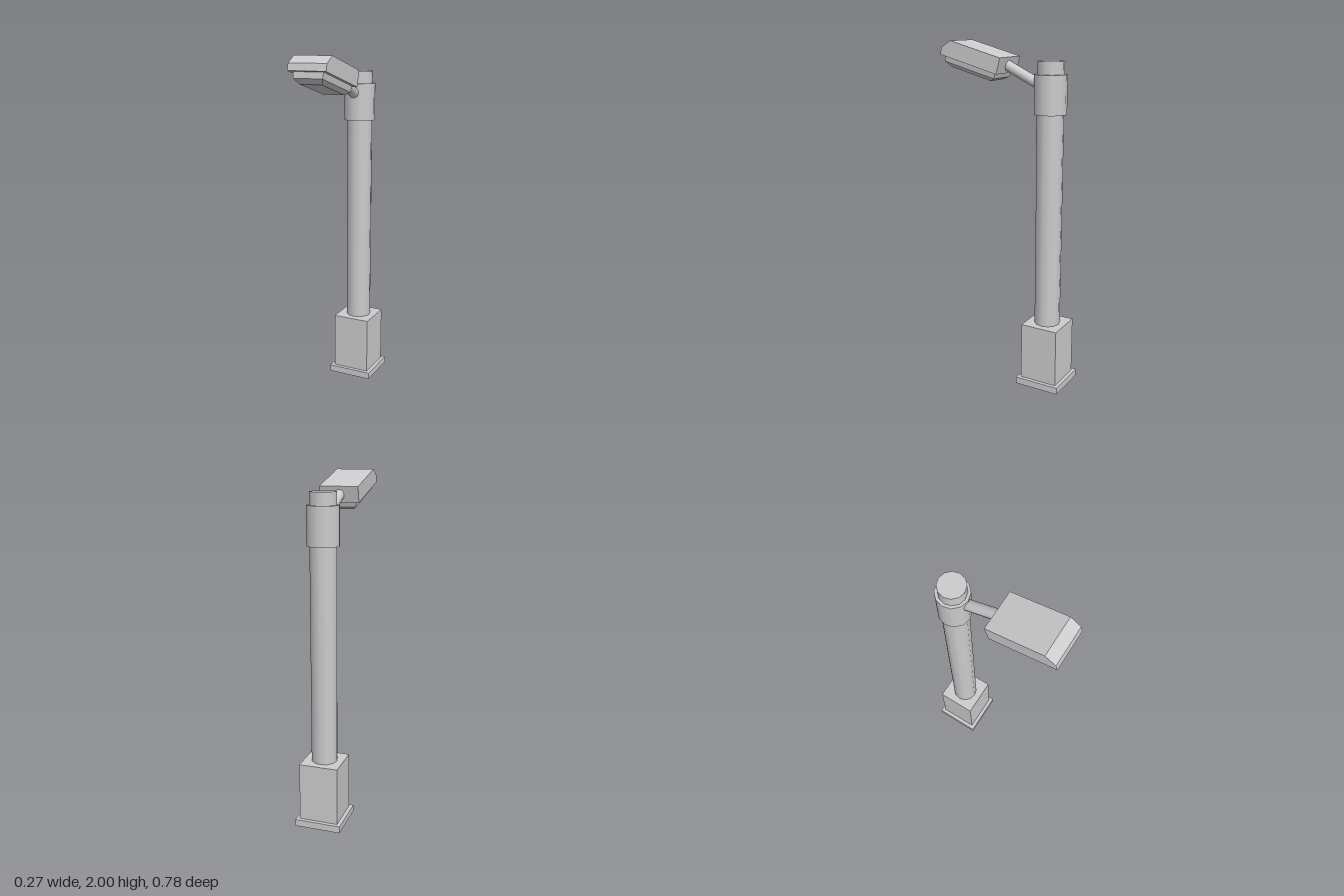
import * as THREE from 'three';
import { toCreasedNormals } from 'three/addons/utils/BufferGeometryUtils.js';

const POLE_Z = -0.255;

export function createModel() {
  const model = new THREE.Group();
  model.name = 'streetLamp';
  const metal = new THREE.MeshStandardMaterial({ color: 0xcccccc });
  metal.name = 'grey metal';

  const add = (name, geometry, parent = model) => {
    const mesh = new THREE.Mesh(geometry, metal);
    mesh.name = name;
    parent.add(mesh);
    return mesh;
  };

  // Square foot
  const block = (name, size, y0, y1) =>
    add(name, new THREE.BoxGeometry(size, y1 - y0, size)).position.set(0, (y0 + y1) / 2, POLE_Z);
  block('basePlate', 0.27, 0, 0.04);
  block('pedestal', 0.226, 0.04, 0.38);

  // Twelve-sided pole and its collar
  const post = (name, r, y0, y1) =>
    add(name, new THREE.CylinderGeometry(r, r, y1 - y0, 12)).position.set(0, (y0 + y1) / 2, POLE_Z);
  post('pole', 0.075, 0.38, 1.9);
  post('collar', 0.091, 1.615, 1.83);

  // Sloping arm from the collar into the housing
  const from = new THREE.Vector3(0, 1.765, -0.2);
  const to = new THREE.Vector3(0, 1.87, 0.02);
  const arm = add('arm', new THREE.CylinderGeometry(0.03, 0.03, from.distanceTo(to), 12));
  arm.position.copy(from).add(to).multiplyScalar(0.5);
  arm.quaternion.setFromUnitVectors(new THREE.Vector3(0, 1, 0), to.clone().sub(from).normalize());

  // Lamp head: local z runs forward along the underside, y up from it
  const head = new THREE.Group();
  head.name = 'lampHead';
  head.position.set(0, 1.825, 0.024);
  head.rotation.x = -THREE.MathUtils.degToRad(15);
  model.add(head);

  // Housing: side profile with a bevelled front, extruded across x
  const width = 0.226;
  const profile = new THREE.Shape([
    [0, 0], [0.381, 0], [0.381, 0.04], [0.332, 0.092], [0, 0.092],
  ].map(([z, y]) => new THREE.Vector2(-z, y)));
  const housing = new THREE.ExtrudeGeometry(profile, { depth: width, bevelEnabled: false });
  housing.translate(0, 0, -width / 2).rotateY(Math.PI / 2);
  add('housing', housing, head);

  // Lens: rectangular rings [y, half width, back z, front z] from top to bottom
  const rings = [
    [0, 0.09, 0.02, 0.362],
    [-0.034, 0.086, 0.022, 0.359],
    [-0.056, 0.066, 0.05, 0.318],
  ];
  const points = [];
  for (const [y, w, back, front] of rings) {
    points.push(-w, y, front, w, y, front, w, y, back, -w, y, back);
  }
  const index = [];
  for (let r = 0; r < rings.length - 1; r++) {
    for (let i = 0; i < 4; i++) {
      const a = r * 4 + i, b = r * 4 + (i + 1) % 4;
      index.push(a, a + 4, b, b, a + 4, b + 4);
    }
  }
  const last = (rings.length - 1) * 4;
  index.push(last, last + 2, last + 1, last, last + 3, last + 2);
  const lens = new THREE.BufferGeometry();
  lens.setAttribute('position', new THREE.Float32BufferAttribute(points, 3));
  lens.setIndex(index);
  add('lens', toCreasedNormals(lens, 0.1), head);

  return model;
}
